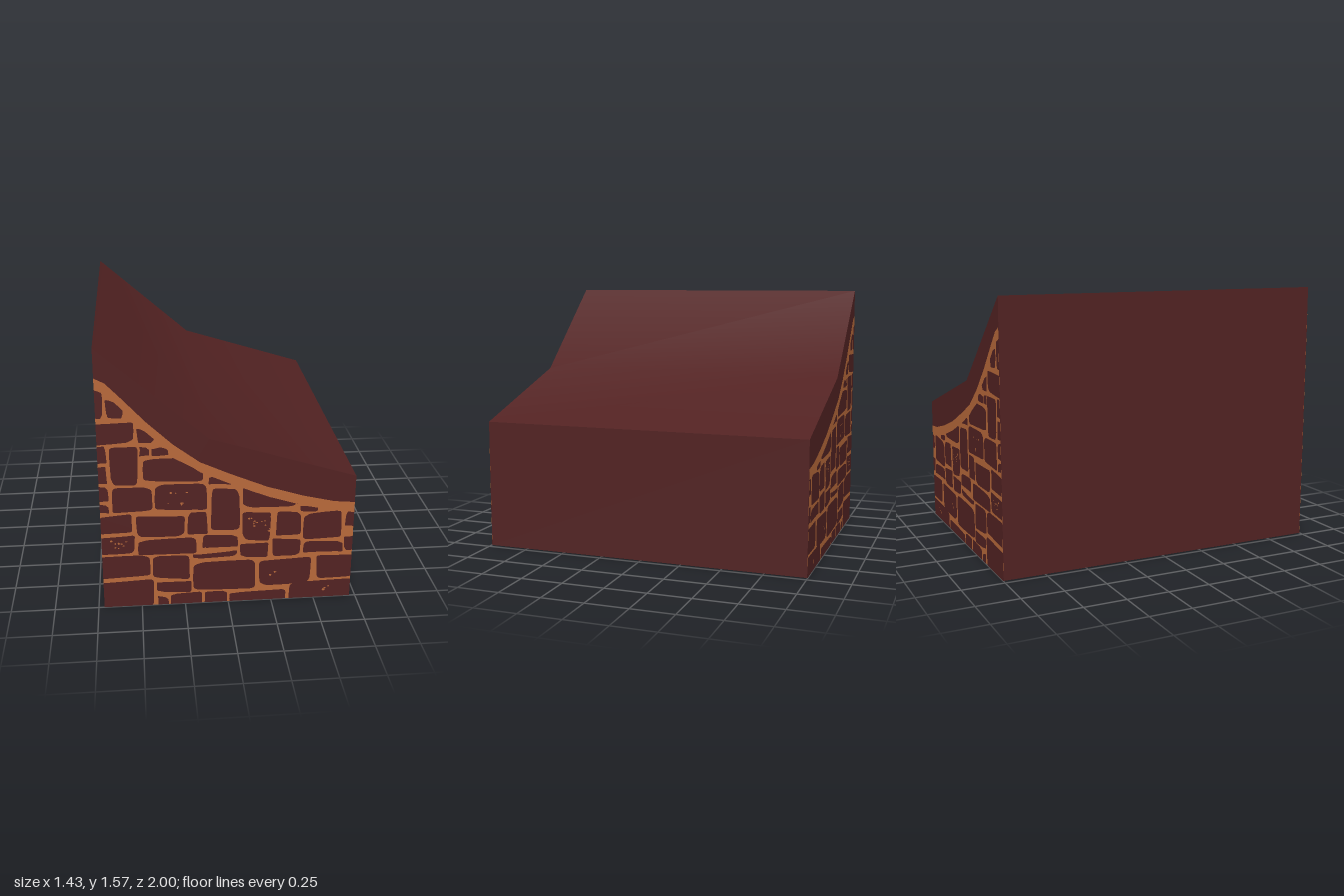
import * as THREE from 'three';
import { toCreasedNormals } from 'three/addons/utils/BufferGeometryUtils.js';

const HALF = 0.717; // half width of the block

// Painted mortar band: upper edge as a smooth falling curve
const bandPoints = [
  [-0.717, 1.405], [-0.66, 1.375], [-0.575, 1.285], [-0.45, 1.148], [-0.305, 1.01], [-0.16, 0.9],
  [0.006, 0.823], [0.214, 0.735], [0.42, 0.67], [0.6, 0.627], [0.717, 0.616],
];
const BAND = 0.06;

function bandTop(x) {
  for (let i = 1; i < bandPoints.length; i++) {
    const [x0, y0] = bandPoints[i - 1], [x1, y1] = bandPoints[i];
    if (x <= x1) return y0 + (y1 - y0) * (x - x0) / (x1 - x0);
  }
  return bandPoints[bandPoints.length - 1][1];
}

let seed = 7;
function random() {
  seed = (seed * 16807) % 2147483647;
  return seed / 2147483647;
}

// Rounded, slightly irregular stone in hundredths of a unit, trimmed to the wall and the band
function stoneShape([x0, x1, y0, y1]) {
  const cx = (x0 + x1) / 200, cy = (y0 + y1) / 200;
  const hw = (x1 - x0) / 200, hh = (y1 - y0) / 200;
  const phase = random() * 6.28, tilt = (random() - 0.5) * 0.016;
  const power = (v) => Math.sign(v) * Math.abs(v) ** 0.28;
  const points = [];
  for (let i = 0; i < 32; i++) {
    const t = (i / 32) * Math.PI * 2;
    const u = power(Math.cos(t)), v = power(Math.sin(t));
    const wobble = 0.004 * Math.sin(3 * t + phase);
    const x = THREE.MathUtils.clamp(cx + u * (hw + wobble), -HALF, HALF);
    const y = cy + v * (hh + wobble) + u * tilt;
    points.push(new THREE.Vector2(x, Math.max(0, Math.min(y, bandTop(x) - BAND))));
  }
  return new THREE.Shape(points);
}

// Stones course by course, each as left, right, bottom, top
function stoneShapes() {
  const shapes = [];
  const course = (...stones) => stones.forEach((s) => shapes.push(stoneShape(s)));
  course([-75, -43, -3, 17], [-41, -35, -3, 5], [-33, -15, -3, 7], [-14, -1, -3, 7], [1, 34, -3, 6],
    [36, 75, -3, 11], [-41, -21, 8, 15]);
  course([-75, -45, 19, 33], [-43, -22, 17, 32], [-20, 16, 8, 27], [18, 48, 10, 27], [51, 75, 13, 28]);
  course([-75, -53, 35, 46], [-51, -18, 33, 43], [-20, 5, 30, 33], [-15, 5, 36, 44], [7, 23, 29, 38],
    [25, 41, 29, 40], [43, 66, 30, 37], [67, 75, 31, 40]);
  course([-75, -54, 48, 59], [-52, -25, 45, 58], [-23, -12, 45, 59], [-10, 6, 47, 73], [8, 24, 40, 58],
    [27, 41, 42, 57], [43, 65, 39, 56], [67, 75, 46, 55]);
  course([-75, -67, 61, 66], [-75, -67, 68, 77], [-65, -43, 61, 76], [-41, -12, 61, 77], [8, 39, 61, 74],
    [41, 51, 57, 61]);
  course([-75, -67, 79, 89], [-75, -67, 91, 101], [-65, -50, 78, 101], [-47, -14, 79, 93], [-11, 1, 76, 81],
    [-49, -44, 95, 100], [-42, -33, 95, 100]);
  course([-75, -52, 103, 115], [-50, -41, 103, 111]);
  course([-75, -68, 118, 134], [-66, -57, 118, 128]);
  return shapes;
}

// Small worn flecks scattered around a few stones: centre x, y, spread, count
function fleckShapes() {
  const shapes = [];
  for (const [cx, cy, spread, count] of [
    [-0.28, 0.68, 0.06, 7], [0.18, 0.5, 0.065, 14], [-0.62, 0.41, 0.05, 8],
    [0.26, 0.18, 0.02, 3], [0.58, 0.06, 0.025, 4], [-0.08, 0.32, 0.1, 6],
  ]) {
    for (let i = 0; i < count; i++) {
      const x = cx + (random() * 2 - 1) * spread;
      const y = cy + (random() * 2 - 1) * Math.min(spread, 0.06) * 0.8;
      const w = 0.004 + random() * 0.006, h = 0.003 + random() * 0.005;
      shapes.push(new THREE.Shape([
        new THREE.Vector2(x - w, y), new THREE.Vector2(x, y - h),
        new THREE.Vector2(x + w, y), new THREE.Vector2(x, y + h),
      ]));
    }
  }
  return shapes;
}

export function createModel() {
  const model = new THREE.Group();
  model.name = 'slopedStoneWall';
  const maroon = new THREE.MeshStandardMaterial({ color: 0x522222, side: THREE.DoubleSide });
  maroon.name = 'dark maroon stone';
  const orange = new THREE.MeshStandardMaterial({ color: 0xb8693a, side: THREE.DoubleSide });
  orange.name = 'orange mortar';

  // Solid block with a bent, softly shaded top
  const depth = 1.994;
  const profile = new THREE.Shape([
    [-HALF, 0], [HALF, 0], [HALF, 0.78], [-0.11, 1.038], [-HALF, 1.57],
  ].map(([x, y]) => new THREE.Vector2(x, y)));
  const block = new THREE.ExtrudeGeometry(profile, { depth, bevelEnabled: false });
  block.translate(0, 0, -depth / 2);
  const body = new THREE.Mesh(toCreasedNormals(block, Math.PI / 6), maroon);
  body.name = 'wallBlock';
  model.add(body);

  // Painted masonry on both ends: mortar, then stones, then flecks
  const mortarShape = new THREE.Shape([[-HALF, 0], [HALF, 0], ...[...bandPoints].reverse()]
    .map(([x, y]) => new THREE.Vector2(x, y)));
  const layers = [
    ['mortar', new THREE.ShapeGeometry(mortarShape), orange, 0.998],
    ['stones', new THREE.ShapeGeometry(stoneShapes()), maroon, 0.999],
    ['flecks', new THREE.ShapeGeometry(fleckShapes()), orange, 1],
  ];
  for (const [side, sign] of [['front', 1], ['back', -1]]) {
    for (const [name, geometry, material, z] of layers) {
      const mesh = new THREE.Mesh(geometry, material);
      mesh.name = `${side} ${name}`;
      mesh.position.z = sign * z;
      model.add(mesh);
    }
  }
  return model;
}
